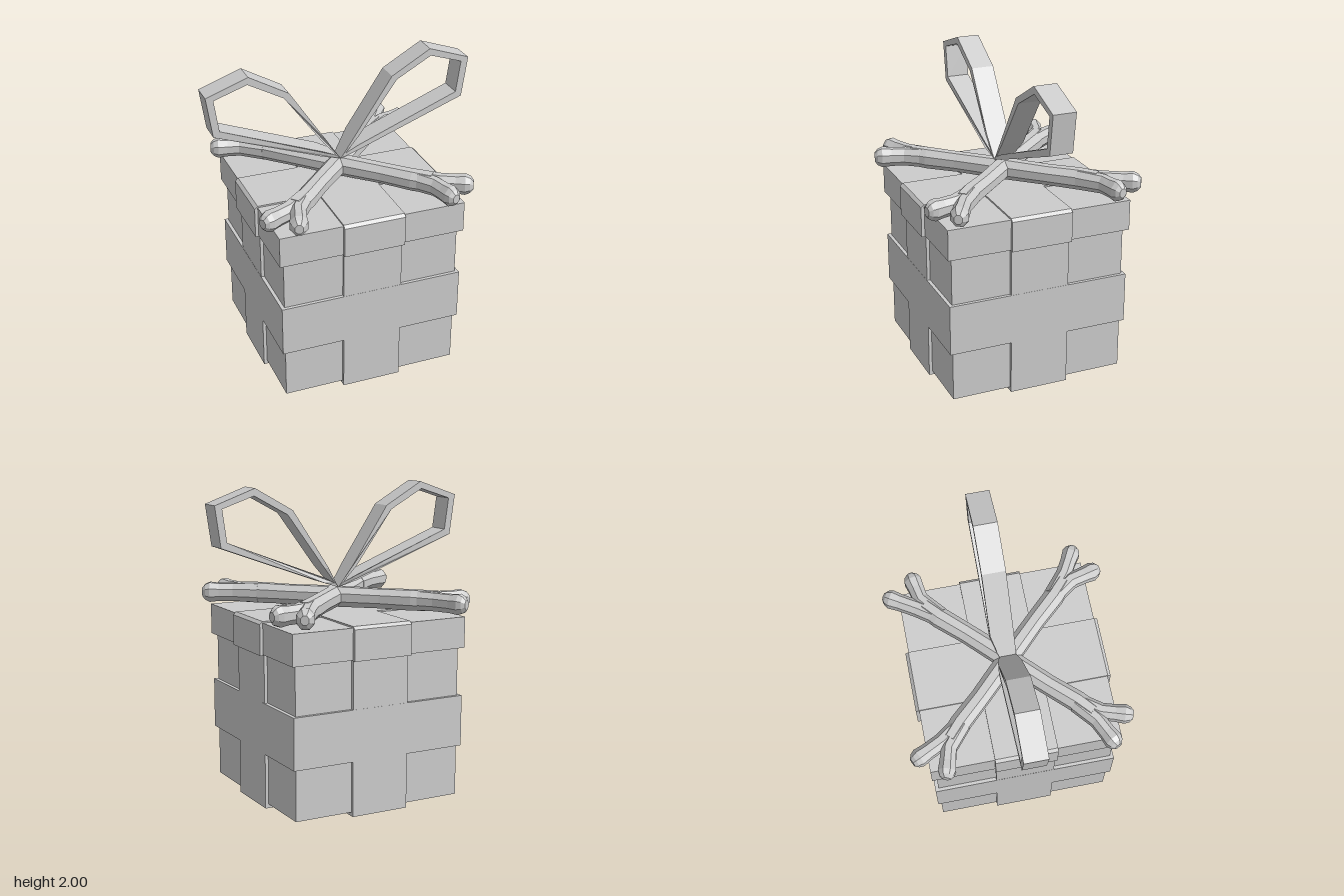
import * as THREE from 'three';

const grey = new THREE.MeshStandardMaterial({ color: 0xcccccc, flatShading: true });
grey.name = 'plain grey';

function add(parent, name, geometry) {
  const mesh = new THREE.Mesh(geometry, grey);
  mesh.name = name;
  parent.add(mesh);
  return mesh;
}

// Box given by its half sizes in x and z and its bottom and top heights
function block(parent, name, hx, hz, y0, y1) {
  const mesh = add(parent, name, new THREE.BoxGeometry(hx * 2, y1 - y0, hz * 2));
  mesh.position.y = (y0 + y1) / 2;
  return mesh;
}

// Horizontal octagonal limb through [x, z, scale] stations, closed at both ends
function limb(stations, width, height, y) {
  const sides = 8, pos = [], index = [];
  stations.forEach(([x, z, s], i) => {
    const a = stations[Math.max(i - 1, 0)];
    const b = stations[Math.min(i + 1, stations.length - 1)];
    const len = Math.hypot(b[0] - a[0], b[1] - a[1]);
    const nx = -(b[1] - a[1]) / len, nz = (b[0] - a[0]) / len;
    for (let k = 0; k < sides; k++) {
      const t = ((k + 0.5) / sides) * Math.PI * 2;
      const w = (Math.cos(t) * width * s) / Math.cos(Math.PI / 8);
      const h = (Math.sin(t) * height * s) / Math.cos(Math.PI / 8);
      pos.push(x + nx * w, y + h, z + nz * w);
    }
  });
  for (let i = 0; i < stations.length - 1; i++) {
    for (let k = 0; k < sides; k++) {
      const a = i * sides + k, b = i * sides + ((k + 1) % sides);
      index.push(a, a + sides, b, b, a + sides, b + sides);
    }
  }
  const last = (stations.length - 1) * sides;
  for (let k = 1; k < sides - 1; k++) {
    index.push(0, k, k + 1);
    index.push(last, last + k + 1, last + k);
  }
  const g = new THREE.BufferGeometry();
  g.setAttribute('position', new THREE.Float32BufferAttribute(pos, 3));
  g.setIndex(index);
  g.computeVertexNormals();
  return g;
}

// Finger with a blunt rounded tip
function finger(start, bend, tip) {
  const len = Math.hypot(tip[0] - bend[0], tip[1] - bend[1]);
  const back = (d, s) => [
    tip[0] - ((tip[0] - bend[0]) / len) * d,
    tip[1] - ((tip[1] - bend[1]) / len) * d, s];
  return limb([[...start, 0.95], [...bend, 0.9], back(0.11, 0.9), back(0.05, 1), back(0.02, 0.8), back(0, 0.45)],
    0.055, 0.064, 1.28);
}

// Ribbon loop: closed outline with a hole, pinched toward the knot
function bowLoop(side, zMid) {
  const outer = [[0, 1.345], [0.12, 1.385], [0.825, 1.645], [0.863, 1.905], [0.595, 2], [0.34, 1.855], [0.09, 1.48]];
  const inner = [[0.03, 1.375], [0.12, 1.48], [0.375, 1.828], [0.602, 1.953], [0.814, 1.883], [0.785, 1.678], [0.12, 1.42]];
  const vec = (list) => list.map(([x, y]) => new THREE.Vector2(x * side, y));
  const shape = new THREE.Shape(vec(outer));
  shape.holes.push(new THREE.Path(vec(inner)));
  const g = new THREE.ExtrudeGeometry(shape, { depth: 1, bevelEnabled: false });
  const p = g.attributes.position;
  for (let i = 0; i < p.count; i++) {
    const t = Math.min(Math.abs(p.getX(i)) / 0.09, 1);
    p.setZ(i, zMid * t + (p.getZ(i) - 0.5) * (0.108 + 0.04 * t));
  }
  g.computeVertexNormals();
  return g;
}

// Lid strap: bevelled profile along its length
function lidStrap() {
  const profile = [[-0.625, 0.985], [0.625, 0.985], [0.625, 1.18], [0.605, 1.198], [-0.605, 1.198], [-0.625, 1.18]];
  const shape = new THREE.Shape(profile.map(([x, y]) => new THREE.Vector2(x, y)));
  const g = new THREE.ExtrudeGeometry(shape, { depth: 0.398, bevelEnabled: false });
  return g.translate(0, 0, -0.199);
}

export function createModel() {
  const model = new THREE.Group();
  model.name = 'giftBox';

  // Box with straps around the sides and beneath
  const box = new THREE.Group();
  box.name = 'box';
  model.add(box);
  block(box, 'boxBody', 0.574, 0.574, 0.025, 1.0);
  block(box, 'beltStrap', 0.596, 0.596, 0.352, 0.68);
  block(box, 'boxStrapAcross', 0.595, 0.192, 0, 0.995);
  block(box, 'boxStrapAlong', 0.192, 0.595, 0, 0.995);

  // Lid with crossed straps
  const lid = new THREE.Group();
  lid.name = 'lid';
  model.add(lid);
  block(lid, 'lidBody', 0.605, 0.604, 0.99, 1.188);
  add(lid, 'lidStrapAcross', lidStrap());
  add(lid, 'lidStrapAlong', lidStrap()).rotation.y = Math.PI / 2;

  // Four forked arms crossing over the lid: tip near x, tip near z
  const arms = new THREE.Group();
  arms.name = 'forkedArms';
  model.add(arms);
  const tips = [
    [[0.69, -0.505], [0.57, -0.695]],
    [[-0.69, -0.515], [-0.55, -0.7]],
    [[-0.69, 0.555], [-0.51, 0.69]],
    [[0.68, 0.565], [0.5, 0.695]],
  ];
  for (const [tipX, tipZ] of tips) {
    const sx = Math.sign(tipX[0]), sz = Math.sign(tipX[1]);
    const at = (x, z) => [x * sx, z * sz];
    add(arms, 'arm', limb([[...at(0, 0), 1], [...at(0.22, 0.22), 0.95], [...at(0.36, 0.37), 1], [...at(0.45, 0.45), 0.95]],
      0.063, 0.065, 1.28));
    add(arms, 'fingerSide', finger(at(0.37, 0.36), at(0.5, 0.465), tipX));
    add(arms, 'fingerEnd', finger(at(0.36, 0.37), at(0.45, 0.5), tipZ));
  }

  // Upright bow loops
  const bow = new THREE.Group();
  bow.name = 'bow';
  model.add(bow);
  add(bow, 'leftLoop', bowLoop(1, -0.018));
  add(bow, 'rightLoop', bowLoop(-1, -0.006));

  return model;
}
